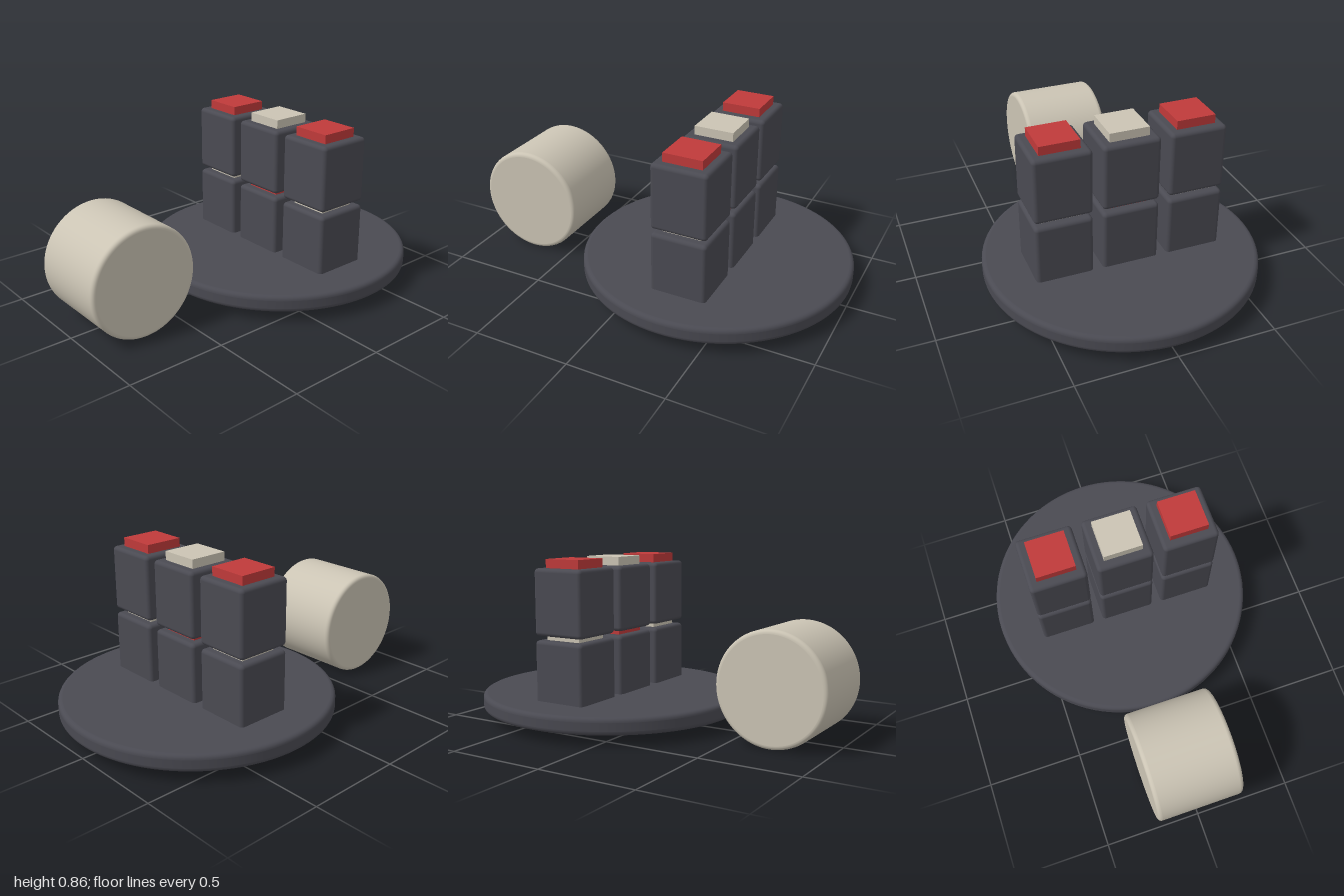
import * as THREE from 'three';
import { RoundedBoxGeometry } from 'three/addons/geometries/RoundedBoxGeometry.js';

const charcoal = new THREE.MeshStandardMaterial({ name: 'charcoal', color: 0x4a4a52 });
const cream = new THREE.MeshStandardMaterial({ name: 'cream', color: 0xcbc4b4 });
const red = new THREE.MeshStandardMaterial({ name: 'red', color: 0xbf3a3a });

const CENTRE_Z = -0.3;

// Solid cylinder with rounded rims, centred on the origin, axis along y
function roundedCylinder(radius, height, bevel, segments = 96) {
  const h = height / 2, steps = 5, e = 0.001;
  const profile = [new THREE.Vector2(0, -h), new THREE.Vector2(radius - bevel - e, -h)];
  for (const end of [-1, 1]) {
    for (let i = 0; i <= steps; i++) {
      const a = (end < 0 ? i / steps - 1 : i / steps) * Math.PI / 2;
      profile.push(new THREE.Vector2(
        radius - bevel + bevel * Math.cos(a),
        end * (h - bevel) + bevel * Math.sin(a)));
    }
    // extra ring keeps the straight wall flat up to the rim
    if (end < 0) {
      profile.push(new THREE.Vector2(radius, -h + bevel + e), new THREE.Vector2(radius, h - bevel - e));
    }
  }
  profile.push(new THREE.Vector2(radius - bevel - e, h), new THREE.Vector2(0, h));
  return new THREE.LatheGeometry(profile, segments);
}

function addPart(parent, name, geometry, material, x, y, z) {
  const mesh = new THREE.Mesh(geometry, material);
  mesh.name = name;
  mesh.position.set(x, y, z);
  parent.add(mesh);
  return mesh;
}

export function createModel() {
  const model = new THREE.Group();
  model.name = 'blocksOnDisc';

  // Round base
  addPart(model, 'baseDisc', roundedCylinder(0.7, 0.087, 0.022), charcoal, 0, 0.1035, CENTRE_Z);

  // Two rows of three blocks, each topped by a square plate of alternating colour
  const blockGeometry = new RoundedBoxGeometry(0.29, 0.337, 0.29, 4, 0.02);
  const plateGeometry = new THREE.BoxGeometry(0.2, 0.045, 0.2);
  for (let row = 0; row < 2; row++) {
    for (let col = -1; col <= 1; col++) {
      const block = new THREE.Group();
      block.name = `block_${row}_${col + 1}`;
      block.position.set(col * 0.34, 0.2865 + row * 0.36, CENTRE_Z);
      addPart(block, 'body', blockGeometry, charcoal, 0, 0, 0);
      const plateMaterial = (row + Math.abs(col)) % 2 === 0 ? red : cream;
      addPart(block, 'topPlate', plateGeometry, plateMaterial, 0, 0.191, 0);
      model.add(block);
    }
  }

  // Roller lying on its side in front
  const roller = addPart(model, 'roller', roundedCylinder(0.281, 0.45, 0.02), cream, 0, 0.284, 0.718);
  roller.rotation.z = Math.PI / 2;

  return model;
}
